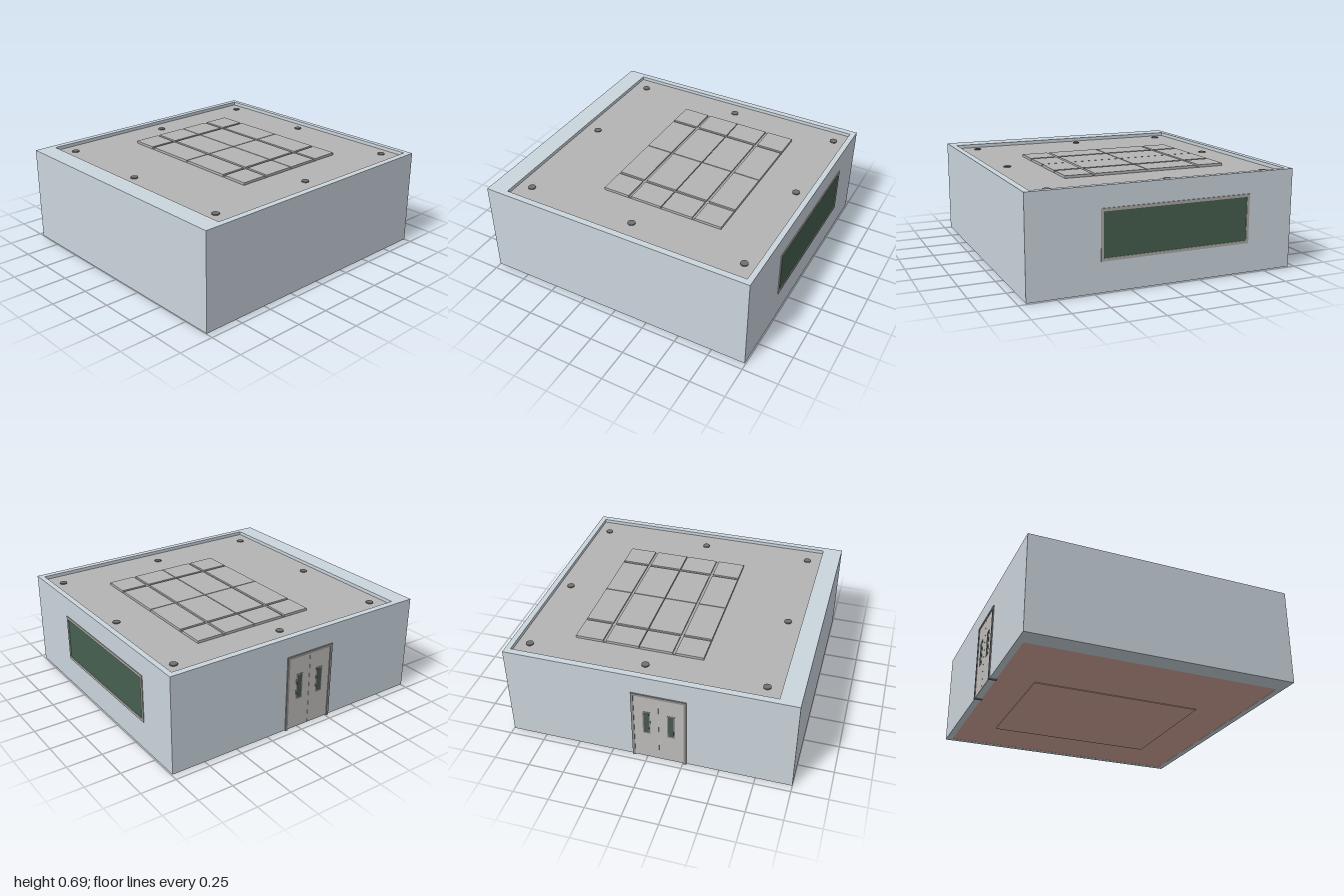
import * as THREE from 'three';

const mat = (color) => new THREE.MeshStandardMaterial({ color });
const wallMat = mat(0xcbd5dd), ceilingMat = mat(0xb4b4b4), gridMat = mat(0xaaaaaa), floorMat = mat(0xd8aa9c);
const doorMat = mat(0xbfbdbb), doorFrameMat = mat(0x8f8f8f), glassMat = mat(0x4a5a52);
const boardMat = mat(0x46604f), boardFrameMat = mat(0xaaa9a5), lampMat = mat(0x707070);

// Box given by its lower and upper limits on each axis
function box(parent, name, material, [x0, x1], [y0, y1], [z0, z1]) {
  const mesh = new THREE.Mesh(new THREE.BoxGeometry(x1 - x0, y1 - y0, z1 - z0), material);
  mesh.position.set((x0 + x1) / 2, (y0 + y1) / 2, (z0 + z1) / 2);
  mesh.name = name;
  parent.add(mesh);
}

function group(parent, name) {
  const g = new THREE.Group();
  g.name = name;
  parent.add(g);
  return g;
}

function rectangle(path, x0, x1, y0, y1) {
  path.moveTo(x0, y0).lineTo(x1, y0).lineTo(x1, y1).lineTo(x0, y1).closePath();
  return path;
}

export function createModel() {
  const room = new THREE.Group();
  room.name = 'room';
  const inX = [-0.905, 0.905], inZ = [-0.955, 0.86];

  // Four walls as one ring; the front wall is thicker
  const plan = rectangle(new THREE.Shape(), -0.95, 0.95, -1, 0.994);
  plan.holes.push(rectangle(new THREE.Path(), inX[0], inX[1], -inZ[1], -inZ[0]));
  const wallGeometry = new THREE.ExtrudeGeometry(plan, { depth: 0.691, bevelEnabled: false });
  wallGeometry.rotateX(-Math.PI / 2);
  const walls = new THREE.Mesh(wallGeometry, wallMat);
  walls.position.y = 0.004;
  walls.name = 'walls';
  room.add(walls);

  // Floor with a slightly lower middle slab
  box(room, 'floor', floorMat, inX, [0.005, 0.03], inZ);
  box(room, 'floorSlab', floorMat, [-0.655, 0.57], [0, 0.02], [-0.6, 0.33]);

  // Ceiling, sunk below the wall tops
  box(room, 'ceiling', ceilingMat, inX, [0.64, 0.67], inZ);

  // Raised ceiling panel: four by four tiles separated by grooves
  const panel = group(room, 'ceilingPanel');
  box(panel, 'panelBase', gridMat, [-0.64, 0.54], [0.665, 0.677], [-0.595, 0.305]);
  const cutsX = [-0.64, -0.44, -0.05, 0.34, 0.54], cutsZ = [-0.595, -0.39, -0.145, 0.1, 0.305];
  const gap = [0, 0.01, 0.003, 0.01, 0];
  for (let i = 0; i < 4; i++) {
    for (let j = 0; j < 4; j++) {
      box(panel, 'panelTile', ceilingMat, [cutsX[i] + gap[i], cutsX[i + 1] - gap[i + 1]],
        [0.676, 0.688], [cutsZ[j] + gap[j], cutsZ[j + 1] - gap[j + 1]]);
    }
  }

  // Eight round lamps around the panel
  const lamps = group(room, 'ceilingLamps');
  const lampGeometry = new THREE.CylinderGeometry(0.026, 0.026, 0.012, 24);
  for (const x of [-0.79, -0.065, 0.765]) {
    for (const z of [-0.87, -0.05, 0.76]) {
      if (x === -0.065 && z === -0.05) continue;
      const lamp = new THREE.Mesh(lampGeometry, lampMat);
      lamp.position.set(x, 0.671, z);
      lamp.name = 'ceilingLamp';
      lamps.add(lamp);
    }
  }

  // Double door on the right wall
  const door = group(room, 'door');
  for (const z of [-0.105, 0.257]) box(door, 'doorJamb', doorFrameMat, [-0.958, -0.9], [0, 0.555], [z, z + 0.018]);
  box(door, 'doorLintel', doorFrameMat, [-0.958, -0.9], [0.537, 0.555], [-0.087, 0.257]);
  for (const z of [-0.087, 0.086]) {
    box(door, 'doorLeaf', doorMat, [-0.953, -0.9], [0.005, 0.537], [z, z + 0.171]);
  }
  for (const z of [0, 0.17]) {
    box(door, 'doorWindowFrame', doorFrameMat, [-0.955, -0.898], [0.22, 0.41], [z - 0.027, z + 0.027]);
    box(door, 'doorWindow', glassMat, [-0.956, -0.897], [0.23, 0.4], [z - 0.019, z + 0.019]);
  }

  // Framed board on the back wall
  const board = group(room, 'board');
  box(board, 'boardSurface', boardMat, [-0.6, 0.44], [0.225, 0.53], [-0.996, -0.94]);
  for (const x of [-0.615, 0.437]) box(board, 'boardSide', boardFrameMat, [x, x + 0.02], [0.21, 0.55], [-1, -0.94]);
  for (const y of [0.21, 0.53]) box(board, 'boardRail', boardFrameMat, [-0.595, 0.437], [y, y + 0.02], [-1, -0.94]);

  return room;
}
